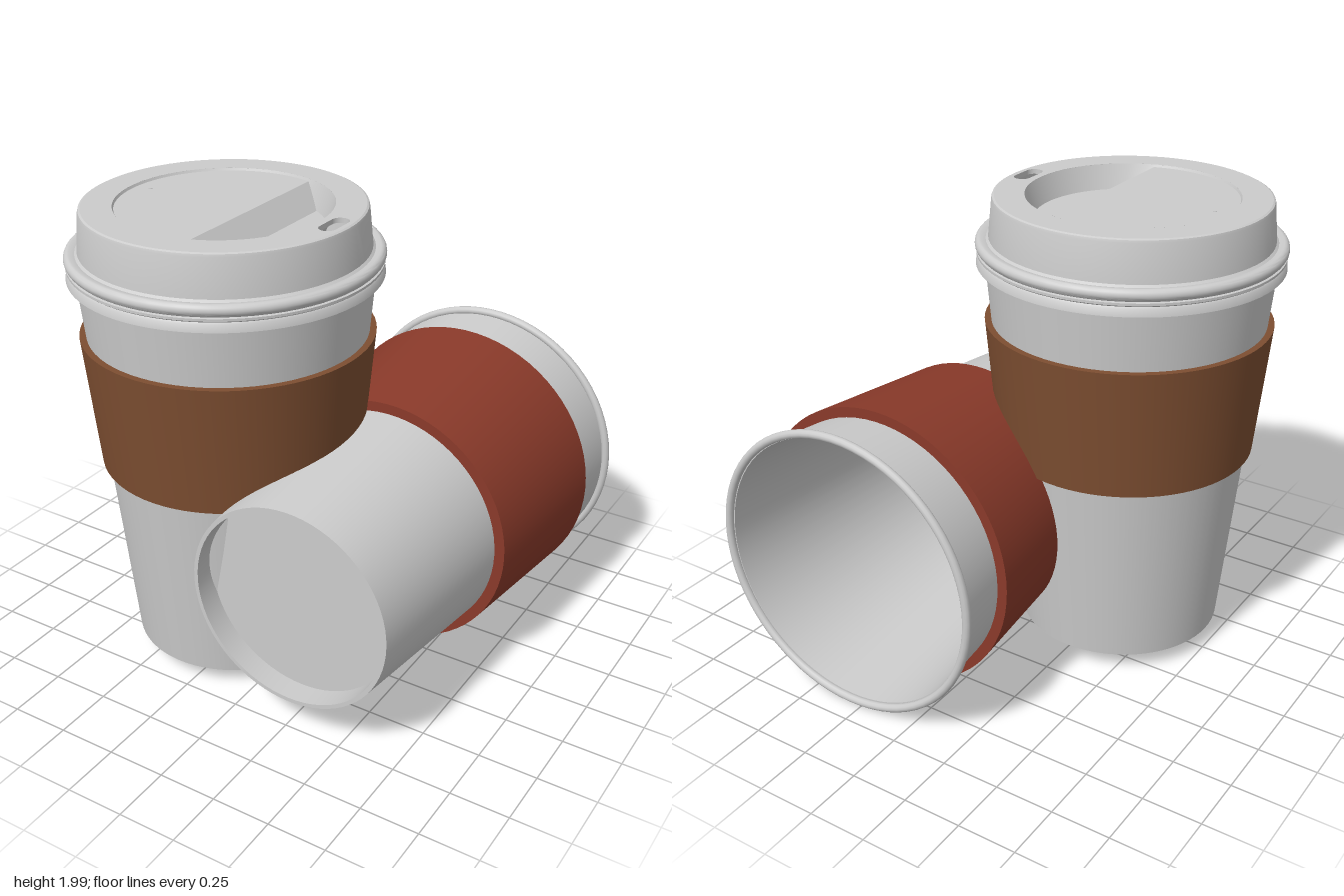
import * as THREE from 'three';
import { toCreasedNormals } from 'three/addons/utils/BufferGeometryUtils.js';

const SEGMENTS = 72;
const grey = new THREE.MeshStandardMaterial({ color: 0xcccccc, side: THREE.DoubleSide });
const brown = new THREE.MeshStandardMaterial({ color: 0x7d4e31 });
const red = new THREE.MeshStandardMaterial({ color: 0x8a3a2a });

function part(name, geometry, material) {
  const mesh = new THREE.Mesh(geometry, material);
  mesh.name = name;
  return mesh;
}

function turned(points) {
  const profile = points.map(([r, y]) => new THREE.Vector2(r, y));
  return toCreasedNormals(new THREE.LatheGeometry(profile, SEGMENTS), 0.6);
}

// Radius of the tapered cup wall at a height above its base
const wallRadius = (y) => 0.437 + 0.094 * y;

// Hollow paper cup with a recessed base, rolled rim and sleeve
function cup(name, sleeve) {
  const group = new THREE.Group();
  group.name = name;
  group.add(part('cupBody', turned([
    [0, 0.1], [0.42, 0.1], [0.42, 0], [0.437, 0], [wallRadius(1.7), 1.7],
    [wallRadius(1.7) - 0.01, 1.7], [wallRadius(0.115) - 0.01, 0.115], [0, 0.115],
  ]), grey));

  const rim = new THREE.TorusGeometry(0.607, 0.018, 12, SEGMENTS);
  rim.rotateX(Math.PI / 2).translate(0, 1.707, 0);
  group.add(part('rolledRim', rim, grey));

  const { from, to, thickness, material } = sleeve;
  const [low, high] = [wallRadius(from), wallRadius(to)];
  group.add(part('sleeve', turned([
    [low - 0.004, from], [low + thickness, from], [high + thickness, to],
    [high - 0.004, to], [low - 0.004, from],
  ]), material));
  return group;
}

// Sunken drinking well: a high shelf, a ramp across it and a low floor
function wellGeometry(top) {
  const outer = 0.43, rampStart = 0.125, rampEnd = 0.205, shelf = top - 0.01, floor = top - 0.1;
  const sections = [];
  const tStart = Math.acos(rampStart / 0.425), tEnd = Math.acos(rampEnd / 0.395);
  const spans = [[0, tEnd, 16], [tEnd, tStart, 4], [tStart, Math.PI, 24]];
  spans.forEach(([a, b, n], k) => {
    for (let i = k ? 1 : 0; i <= n; i++) {
      const f = i / n, t = a + (b - a) * f;
      const drop = k === 0 ? 1 : k === 1 ? 1 - f : 0;
      const x = k === 1 ? rampEnd + (rampStart - rampEnd) * f : (0.425 - 0.03 * drop) * Math.cos(t);
      const y = shelf + (floor - shelf) * drop;
      const z = (0.425 - 0.03 * drop) * Math.sin(t);
      const [ox, oz] = [outer * Math.cos(t), outer * Math.sin(t)];
      sections.push([[ox, top, oz], [x, y, z], [x, y, -z], [ox, top, -oz]]);
    }
  });
  const index = [];
  for (let i = 0; i + 1 < sections.length; i++) {
    for (let j = 0; j < 3; j++) {
      const a = i * 4 + j, b = a + 4;
      index.push(a, a + 1, b, a + 1, b + 1, b);
    }
  }
  const geometry = new THREE.BufferGeometry();
  geometry.setAttribute('position', new THREE.Float32BufferAttribute(sections.flat(2), 3));
  geometry.setIndex(index);
  return toCreasedNormals(geometry, 0.5);
}

// Travel lid with snap ring, raised top, sip hole and vent
function lid() {
  const group = new THREE.Group();
  group.name = 'lid';
  const top = 1.91;
  const bead = [];
  for (let i = 0; i <= 10; i++) {
    const a = -Math.PI / 2 + Math.PI * i / 10;
    bead.push([0.607 + 0.023 * Math.cos(a), 1.716 + 0.024 * Math.sin(a)]);
  }
  group.add(part('lidSkirt', turned([
    [0.6, 1.635], [0.627, 1.635], [0.622, 1.665], [0.616, 1.672], [0.624, 1.678], [0.624, 1.688],
    ...bead, [0.586, 1.734], [0.576, 1.742], [0.562, top - 0.014], [0.559, top - 0.004], [0.551, top],
  ]), grey));

  // Flat top ring, pierced by the well and the rounded sip hole
  const ring = new THREE.Shape().absarc(0, 0, 0.551, 0, Math.PI * 2);
  ring.holes.push(new THREE.Path().absarc(0, 0, 0.43, 0, Math.PI * 2, true));
  const sip = new THREE.Path();
  sip.absarc(0.495, 0.045, 0.035, 0, Math.PI, false);
  sip.absarc(0.495, -0.045, 0.035, Math.PI, Math.PI * 2, false);
  ring.holes.push(sip);
  const ringGeometry = new THREE.ExtrudeGeometry(ring, { depth: 0.02, bevelEnabled: false, curveSegments: 36 });
  ringGeometry.rotateX(-Math.PI / 2).translate(0, top - 0.02, 0);
  group.add(part('lidTopRing', ringGeometry, grey));

  group.add(part('drinkingWell', wellGeometry(top), grey));

  const vent = new THREE.CylinderGeometry(0.008, 0.008, 0.004, 12);
  vent.translate(-0.36, top - 0.01, 0);
  group.add(part('ventHole', vent, grey));
  return group;
}

export function createModel() {
  const model = new THREE.Group();
  model.name = 'paperCups';

  const standing = cup('standingCup', { from: 0.835, to: 1.39, thickness: 0.027, material: brown });
  standing.add(lid());
  standing.position.set(-0.305, 0.09, 0.28);

  // Open cup lying on its side, mouth to the back
  const lying = cup('lyingCup', { from: 0.76, to: 1.453, thickness: 0.044, material: red });
  lying.rotation.x = -Math.PI / 2;
  lying.position.set(0.305, 0.635, 0.81);

  model.add(standing, lying);
  return model;
}
